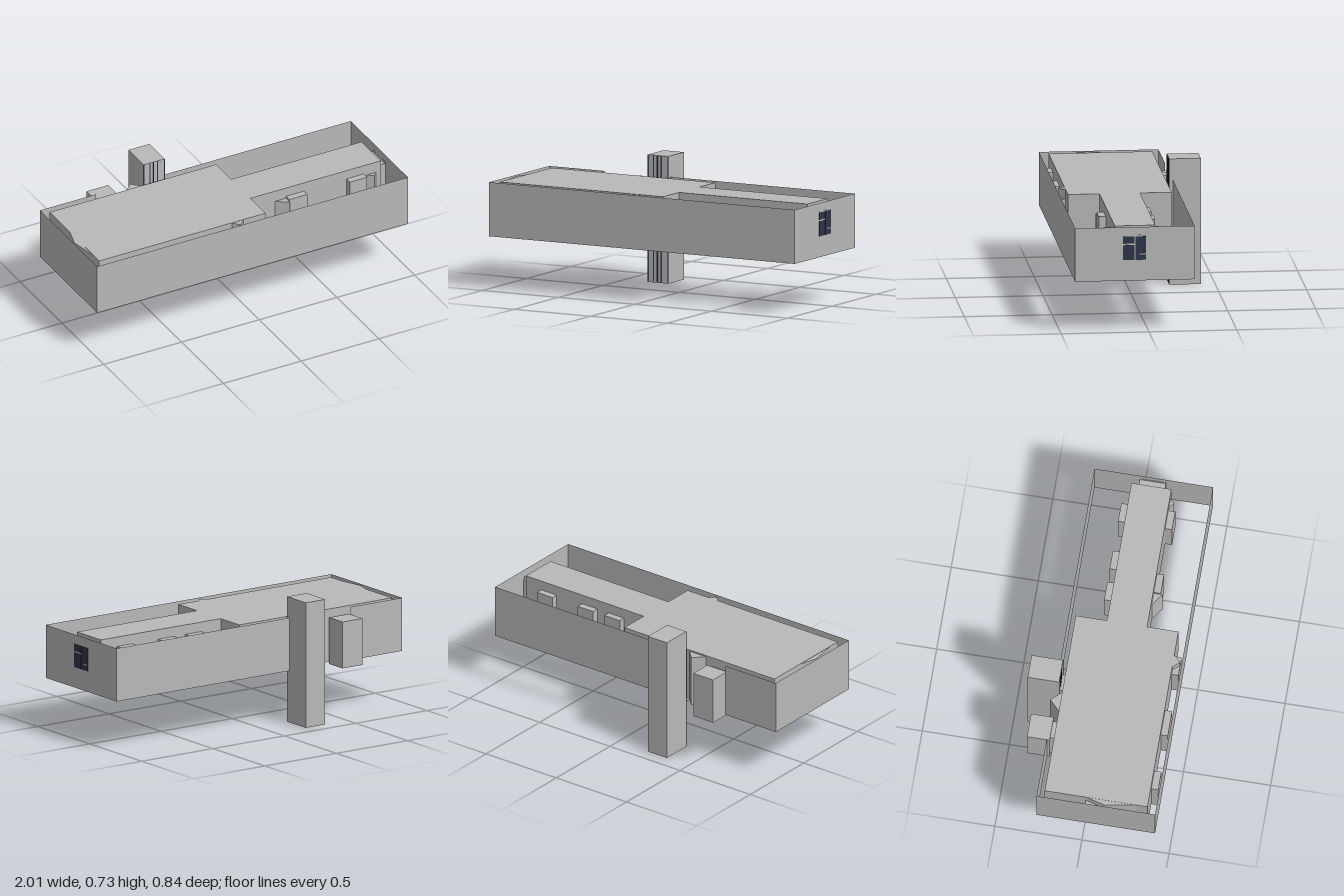
import * as THREE from 'three';

export function createModel() {
  const model = new THREE.Group();
  const grey = new THREE.MeshStandardMaterial({ color: 0xb8b8b8, side: THREE.DoubleSide });
  grey.name = 'plaster grey';
  const navy = new THREE.MeshStandardMaterial({ color: 0x2e3448 });
  navy.name = 'window navy';

  const add = (name, geometry, material = grey) => {
    const mesh = new THREE.Mesh(geometry, material);
    mesh.name = name;
    model.add(mesh);
    return mesh;
  };
  // Box given by its limits on each axis
  const box = (name, x0, x1, y0, y1, z0, z1, material) =>
    add(name, new THREE.BoxGeometry(x1 - x0, y1 - y0, z1 - z0), material)
      .position.set((x0 + x1) / 2, (y0 + y1) / 2, (z0 + z1) / 2);
  // Upright prism from a plan outline of [x, z] points
  const prism = (name, plan, y0, y1) => {
    const shape = new THREE.Shape(plan.map(([x, z]) => new THREE.Vector2(x, -z)));
    const g = new THREE.ExtrudeGeometry(shape, { depth: y1 - y0, bevelEnabled: false });
    g.rotateX(-Math.PI / 2).translate(0, y0, 0);
    return add(name, g);
  };
  // Paper-thin upright wall between two plan points
  const FLOOR = 0.3, TOP = 0.61;
  const wall = (name, x0, z0, x1, z1) => {
    const g = new THREE.PlaneGeometry(Math.hypot(x1 - x0, z1 - z0), TOP - FLOOR);
    const mesh = add(name, g);
    mesh.position.set((x0 + x1) / 2, (FLOOR + TOP) / 2, (z0 + z1) / 2);
    mesh.rotation.y = Math.atan2(-(z1 - z0), x1 - x0);
  };

  // Outer walls, open at the back beside the tower
  wall('frontWall', -1, 0.42, 1, 0.42);
  wall('leftWall', 1, 0.42, 1, -0.26);
  wall('rightWall', -1, -0.26, -1, 0.42);
  wall('backWallLong', 1, -0.26, -0.21, -0.26);
  wall('backWallShort', -0.64, -0.26, -1, -0.26);

  // Inner block with its narrow wing
  prism('innerBlock', [
    [-0.96, 0.37], [0.11, 0.37], [0.11, 0.19], [0.95, 0.19],
    [0.95, -0.04], [0.11, -0.04], [0.11, -0.22], [-0.96, -0.22],
  ], FLOOR, 0.608);

  // Bays standing out from the inner block: x range, z range
  const bays = [
    [0.25, 0.36, -0.08, -0.04], [0.44, 0.55, -0.08, -0.04], [0.73, 0.84, -0.08, -0.04],
    [0.34, 0.455, 0.19, 0.23], [0.73, 0.84, 0.19, 0.23],
    [-0.83, -0.72, 0.37, 0.41], [-0.5, -0.35, 0.37, 0.41], [-0.13, -0.02, 0.37, 0.41],
    [0.95, 0.998, 0.0, 0.15], [-0.998, -0.96, 0.015, 0.13],
    [-0.62, -0.52, -0.245, -0.22], [-0.33, -0.235, -0.245, -0.22],
  ];
  bays.forEach(([x0, x1, z0, z1]) => box('bay', x0, x1, FLOOR, 0.553, z0, z1));

  // Pointed bays
  prism('backPoint', [[-0.47, -0.22], [-0.355, -0.22], [-0.41, -0.28]], FLOOR, 0.6);
  prism('frontPoint', [[-0.105, 0.37], [-0.07, 0.408], [-0.03, 0.37]], FLOOR, 0.606);
  prism('wingPoint', [[0.27, 0.19], [0.34, 0.24], [0.36, 0.19]], FLOOR, 0.54);
  prism('wingEndPoint', [[0.86, 0.19], [0.895, 0.215], [0.92, 0.19]], FLOOR, 0.54);
  prism('slantedEnd', [[-0.96, 0.02], [-0.99, 0.13], [-0.96, 0.3]], FLOOR, 0.606);

  // Tower and the smaller box beside it
  box('tower', -0.345, -0.21, 0, 0.73, -0.42, -0.24);
  box('sideBox', -0.64, -0.5, 0.295, 0.566, -0.375, -0.245);
  for (const x of [-0.343, -0.305, -0.281, -0.257, -0.212])
    box('towerSlit', x - 0.0025, x + 0.0025, 0.005, 0.728, -0.24, -0.237, navy);

  // Window in the left wall
  box('windowFrame', 0.998, 1.001, 0.408, 0.565, 0.009, 0.153);
  const panes = [[0.083, 0.147, 0.515, 0.556], [0.083, 0.147, 0.42, 0.506], [0.016, 0.078, 0.42, 0.556]];
  panes.forEach(([z0, z1, y0, y1]) => box('windowPane', 1, 1.003, y0, y1, z0, z1, navy));
  box('windowHandle', 1, 1.005, 0.452, 0.458, 0.021, 0.055);

  return model;
}
